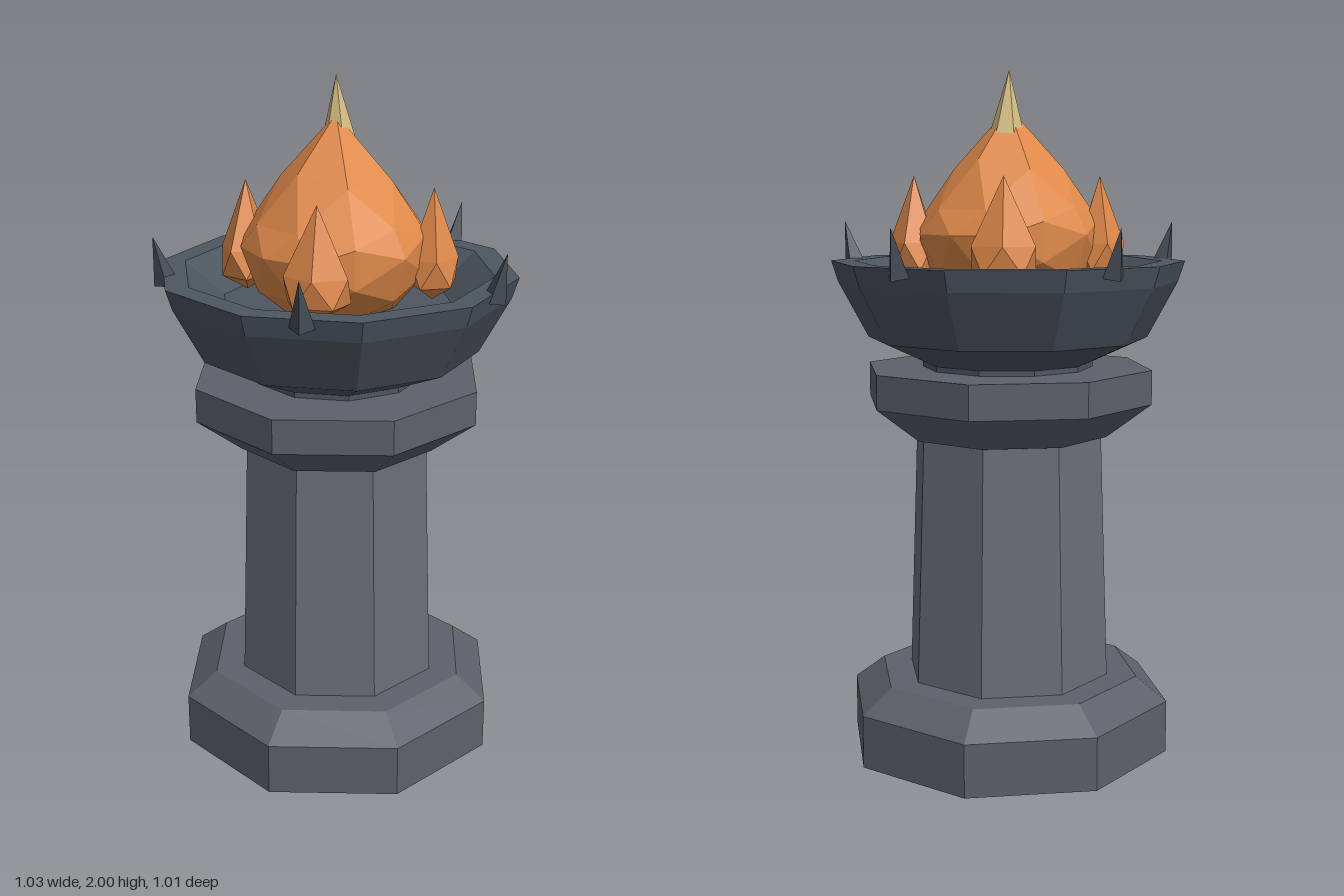
import * as THREE from 'three';

const Z0 = 0.02; // common axis of the pedestal and bowl

const material = (color) => new THREE.MeshStandardMaterial({ color, flatShading: true });
const columnStone = material(0x6a6e76);
const trimStone = material(0x5c6169);
const bowlStone = material(0x4d5660);
const spikeStone = material(0x454c55);
const fire = material(0xe08a4a);
const fireTip = material(0xd4be82);

function addMesh(parent, name, geometry, mat) {
  const mesh = new THREE.Mesh(geometry, mat);
  mesh.name = name;
  parent.add(mesh);
  return mesh;
}

// Faceted ring solid with one corner half a step off +z; radii are scaled by k
function turned(points, sides, k = 1) {
  const profile = points.map(([r, y]) => new THREE.Vector2(r * k, y));
  return new THREE.LatheGeometry(profile, sides, Math.PI / sides);
}

// Faceted ball whose upper half is drawn up into a concave point
function flameGeometry(ball, radius, rise, drop) {
  const p = ball.attributes.position;
  for (let i = 0; i < p.count; i++) {
    const y = p.getY(i);
    const h = y > 0 ? rise * (0.35 * y + 0.65 * y ** 5) : drop * y;
    p.setXYZ(i, p.getX(i) * radius, h, p.getZ(i) * radius);
  }
  ball.computeVertexNormals();
  return ball;
}

export function createModel() {
  const model = new THREE.Group();
  model.name = 'brazier';
  const body = new THREE.Group();
  body.name = 'body';
  body.position.z = Z0;
  model.add(body);

  // Octagonal pedestal: radii given across the flats
  const flat = 1 / Math.cos(Math.PI / 8);
  addMesh(body, 'base', turned([[0, 0], [0.45, 0], [0.45, 0.155], [0.365, 0.225], [0, 0.225]], 8, flat), trimStone);
  addMesh(body, 'column', turned([[0.283, 0.22], [0.26, 0.95]], 8, flat), columnStone);
  addMesh(body, 'capital', turned([[0, 0.945], [0.275, 0.945], [0.397, 1.045], [0.397, 1.145], [0, 1.145]], 8, flat), trimStone);

  // Ten-sided hollow bowl
  addMesh(body, 'bowl', turned([
    [0.25, 1.13], [0.25, 1.16], [0.41, 1.232], [0.498, 1.395], [0.517, 1.455],
    [0.449, 1.455], [0.335, 1.36], [0, 1.36],
  ], 10), bowlStone);

  // Five spikes leaning outward on the rim
  for (let i = 0; i < 5; i++) {
    const arm = new THREE.Group();
    arm.name = 'rimSpike' + (i + 1);
    arm.rotation.y = Math.PI + (i * Math.PI * 2) / 5;
    const spike = addMesh(arm, 'spike', new THREE.ConeGeometry(0.035, 0.14, 4), spikeStone);
    spike.position.set(0, 1.497, 0.502);
    spike.rotation.x = 0.24;
    body.add(arm);
  }

  // Large central flame
  const core = new THREE.IcosahedronGeometry(1, 1).rotateY(Math.PI / 2);
  const mainFlame = addMesh(body, 'mainFlame', flameGeometry(core, 0.273, 0.36, 0.24), fire);
  mainFlame.position.set(0, 1.535, 0.005);

  // Pale tip, set just behind the point of the main flame
  const tip = addMesh(body, 'flameTip', new THREE.ConeGeometry(0.062, 0.225, 6), fireTip);
  tip.position.set(-0.006, 1.888, -0.008);
  tip.rotation.x = 0.06;

  // Four small flames around the main one
  [[-0.15, -0.22], [0.22, -0.16], [-0.22, 0.15], [0.155, 0.22]].forEach(([x, z], i) => {
    const ball = new THREE.IcosahedronGeometry(1, 0).rotateX(-1.0172);
    const flame = addMesh(body, 'smallFlame' + (i + 1), flameGeometry(ball, 0.095, 0.23, 0.09), fire);
    flame.position.set(x, 1.47, z);
    flame.rotation.y = Math.atan2(x, z);
    flame.scale.set(1.1, 1, 0.85);
  });

  return model;
}
